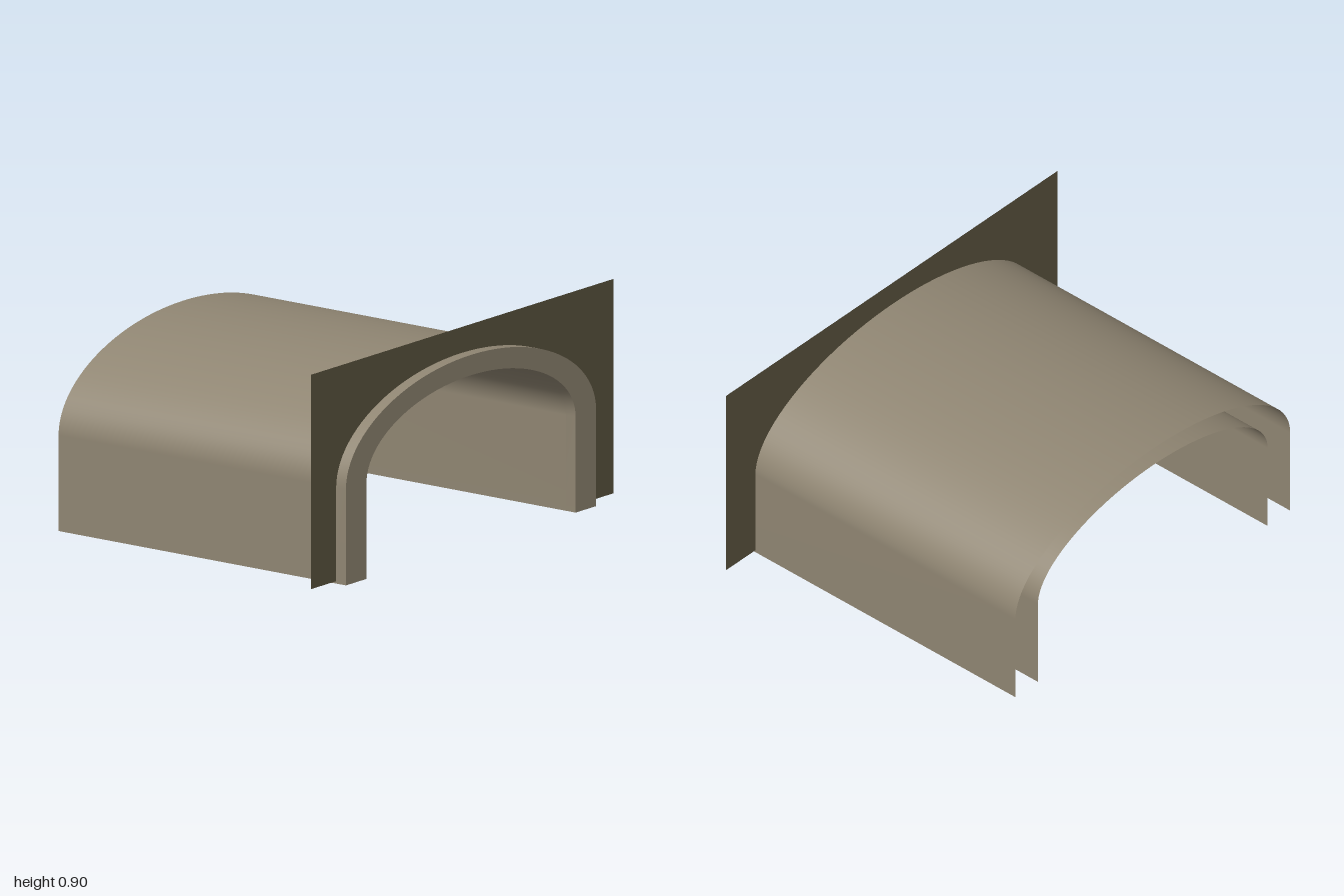
import * as THREE from 'three';
import { toCreasedNormals } from 'three/addons/utils/BufferGeometryUtils.js';

const BACK = -0.735, PANEL = 0.685, FRONT = 0.735; // stations along x
const CENTRE_Z = 0.007;
const SPRING = 0.4; // height where the legs turn into the curve
const OUTER = { half: 0.828, top: 0.797 };
const INNER = { half: 0.692, top: 0.712 };
const STEPS = 48;

// Arch outline: straight leg, half ellipse, straight leg (from +u to -u)
function archPoints({ half, top }, base = 0) {
  const pts = [new THREE.Vector2(half, base)];
  for (let i = 0; i <= STEPS; i++) {
    const a = (Math.PI * i) / STEPS;
    pts.push(new THREE.Vector2(half * Math.cos(a), SPRING + (top - SPRING) * Math.sin(a)));
  }
  pts.push(new THREE.Vector2(-half, base));
  return pts;
}

// Open vault sheet swept along x
function sheetGeometry(arch) {
  const pts = archPoints(arch);
  const rows = pts.length - 1;
  const geo = new THREE.PlaneGeometry(1, 1, 1, rows);
  const pos = geo.attributes.position;
  for (let i = 0; i < pos.count; i++) {
    const p = pts[Math.round((pos.getY(i) + 0.5) * rows)];
    pos.setXYZ(i, pos.getX(i) < 0 ? BACK : PANEL, p.y, p.x + CENTRE_Z);
  }
  geo.computeVertexNormals();
  return geo;
}

export function createModel() {
  const group = new THREE.Group();
  const stone = new THREE.MeshStandardMaterial({ color: 0x8f8572, side: THREE.DoubleSide });
  stone.name = 'tunnel stone';
  const wall = new THREE.MeshStandardMaterial({ color: 0x5c5540, side: THREE.DoubleSide });
  wall.name = 'dark wall';

  const add = (name, geo, mat) => {
    const mesh = new THREE.Mesh(geo, mat);
    mesh.name = name;
    group.add(mesh);
    return mesh;
  };

  // Outer and inner vault skins, open at the far end and below
  add('outerVault', sheetGeometry(OUTER), stone);
  add('innerVault', sheetGeometry(INNER), stone);

  // Solid arch rim standing proud of the wall
  const ring = new THREE.Shape([...archPoints(OUTER), ...archPoints(INNER).reverse()]);
  const rimGeo = new THREE.ExtrudeGeometry(ring, { depth: FRONT - PANEL, bevelEnabled: false });
  rimGeo.rotateY(Math.PI / 2);
  rimGeo.translate(PANEL, 0, CENTRE_Z);
  add('archRim', toCreasedNormals(rimGeo, 0.6), stone);

  // Thin portal wall around the arch
  const base = 0.01;
  const outline = new THREE.Shape([
    new THREE.Vector2(1, base),
    new THREE.Vector2(1, 0.905),
    new THREE.Vector2(-1, 0.905),
    new THREE.Vector2(-1, base),
    ...archPoints(OUTER, base).map((p) => p.setX(p.x - CENTRE_Z)).reverse(),
  ]);
  const panel = add('portalWall', new THREE.ShapeGeometry(outline), wall);
  panel.rotation.y = Math.PI / 2;
  panel.position.x = PANEL;

  return group;
}
